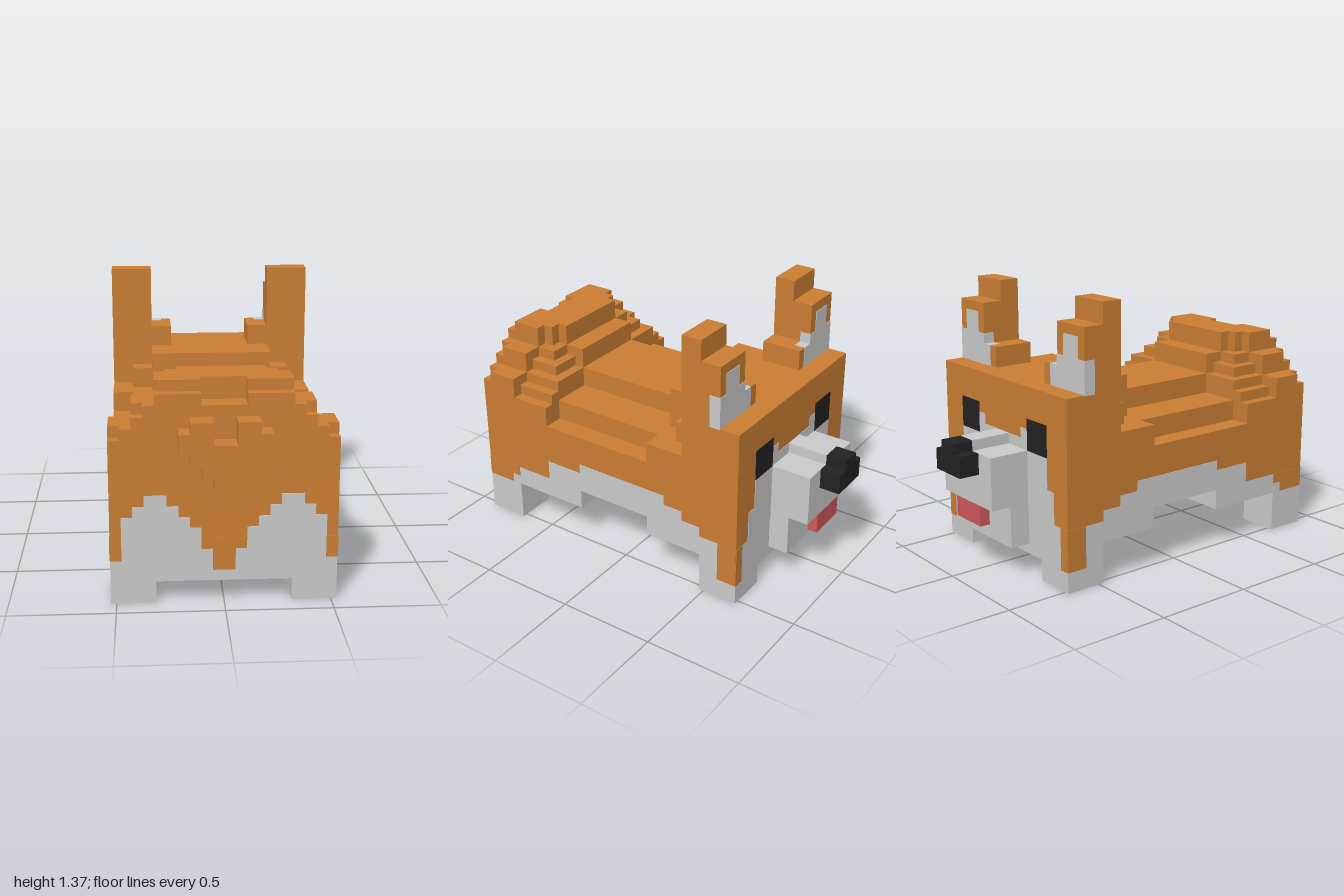
import * as THREE from 'three';

// All part coordinates are in blocks; the animal is 38 blocks long.
const U = 2 / 38;

const mat = (name, color) => {
  const m = new THREE.MeshStandardMaterial({ color });
  m.name = name;
  return m;
};

export function createModel() {
  const orange = mat('orange fur', 0xc97d33);
  const white = mat('pale fur', 0xc9c9c9);
  const black = mat('black', 0x222222);
  const red = mat('tongue red', 0xcd565a);

  const model = new THREE.Group();
  model.name = 'blockDog';

  const part = (name) => {
    const g = new THREE.Group();
    g.name = name;
    model.add(g);
    return g;
  };

  // Box from min/max corners, optionally grown by a hair for painted details
  const box = (g, m, x0, x1, y0, y1, z0, z1, grow = 0) => {
    const geo = new THREE.BoxGeometry(
      (x1 - x0 + 2 * grow) * U, (y1 - y0 + 2 * grow) * U, (z1 - z0 + 2 * grow) * U);
    const mesh = new THREE.Mesh(geo, m);
    mesh.name = g.name + 'Block';
    mesh.position.set((x0 + x1) / 2 * U, (y0 + y1) / 2 * U, (z0 + z1) / 2 * U);
    g.add(mesh);
  };
  // The same box on both sides of the body
  const pair = (g, m, x0, x1, ...rest) => {
    box(g, m, x0, x1, ...rest);
    box(g, m, -x1, -x0, ...rest);
  };

  // Legs, with the bars that join them
  const legs = part('legs');
  for (const z of [-13, 13]) {
    pair(legs, white, 6, 10, 0, 4, z, z + 4);
    box(legs, white, -6, 6, 2, 4, z, z + 4);
  }

  // Belly, raised in the middle
  const belly = part('belly');
  box(belly, white, -10, 10, 4, 6, -13, -3);
  box(belly, white, -10, 10, 4, 6, 5, 17);

  // Trunk and stepped back
  const trunk = part('trunk');
  box(trunk, orange, -10, 10, 6, 12, -13, 17);
  box(trunk, orange, -8, 8, 12, 14, -3, 9);
  box(trunk, orange, -4, 4, 14, 16, -3, 9);

  // Head and the steps behind the ears
  const head = part('head');
  box(head, orange, -10, 10, 12, 18, -13, -7);
  box(head, orange, -10, 10, 12, 14, -7, -3);
  box(head, orange, -6, 6, 14, 18, -7, -3);
  pair(head, orange, 6, 8, 14, 16, -7, -5);

  // Rump: half width, top, front z, back z
  const rump = part('rump');
  for (const [w, top, z0, z1] of [
    [10, 14, 9, 13], [9, 15, 9, 13], [8, 16, 9, 13], [7, 17, 10, 13], [6, 18, 11, 13],
    [4, 18, 9, 11], [4, 20, 11, 12], [5, 20, 12, 13],
    [10, 16, 13, 16], [8, 18, 13, 16], [6, 20, 13, 15],
    [10, 15, 16, 17], [9, 16, 16, 17], [8, 17, 16, 17], [7, 18, 16, 17],
  ]) box(rump, orange, -w, w, 12, top, z0, z1);
  pair(rump, orange, 2, 6, 18, 20, 15, 16);
  pair(rump, orange, 2, 6, 18, 19, 16, 17);

  // Heart-shaped tail: inner x, outer x, bottom, top
  const tail = part('tail');
  box(tail, orange, -1, 1, 11, 15, 17, 19);
  for (const [x0, x1, y0, y1] of [[1, 2, 12, 17], [2, 3, 13, 17], [3, 4, 14, 16]])
    pair(tail, orange, x0, x1, y0, y1, 17, 19);

  // Ears with pale linings
  const ears = part('ears');
  pair(ears, orange, 6, 10, 18, 26, -9, -7);
  pair(ears, orange, 6, 10, 18, 24, -11, -9);
  pair(ears, orange, 4, 6, 18, 20, -11, -7);
  const lining = part('earLining');
  for (const [x0, x1, top] of [[5, 6, 20], [6, 7, 21], [7, 9, 23], [9, 10, 21]])
    pair(lining, white, x0, x1, 18, top, -11, -10, 0.05);

  // Muzzle, chin, nose and tongue
  const muzzle = part('muzzle');
  box(muzzle, white, -4, 4, 7, 12, -17, -13);
  box(muzzle, white, -1, 1, 12, 13, -17, -13);
  box(muzzle, white, -4, 4, 3, 7, -15, -13);
  const nose = part('nose');
  box(nose, black, -2, 2, 10, 12, -19, -17);
  box(nose, black, -1, 1, 12, 13, -19, -17);
  box(part('tongue'), red, -2, 2, 5, 7, -17, -16);

  // Eyes, as thin plates
  pair(part('eyes'), black, 4, 7, 12, 15, -13.06, -13);

  // Fur markings: pale above or orange below the belly line at y = 6
  const T = 0.05;
  const marking = (name, columns, place) => {
    const g = part(name);
    for (const [a, b, h] of columns) {
      if (h === 6) continue;
      const up = h > 6;
      place(g, up ? white : orange, a, b, up ? 6 : h, up ? h : 6);
    }
  };
  marking('rumpMarking',
    [[0, 1, 3], [1, 2, 5], [2, 3, 7], [3, 4, 8], [4, 5, 9], [5, 7, 10], [7, 8, 9], [8, 9, 8], [9, 10, 4]],
    (g, m, a, b, y0, y1) => pair(g, m, a, b, y0, y1, 17, 17 + T));
  marking('faceMarking',
    [[0, 3, 13], [3, 4, 14], [4, 7, 12], [7, 8, 9], [9, 10, 2]],
    (g, m, a, b, y0, y1) => pair(g, m, a, b, y0, y1, -13 - T, -13));
  marking('sideMarking',
    [[-13, -11, 2], [-9, -7, 7], [-7, -5, 8], [-5, 5, 9], [5, 9, 8], [13, 14, 5], [14, 17, 4]],
    (g, m, a, b, y0, y1) => pair(g, m, 10, 10 + T, y0, y1, a, b));

  return model;
}
